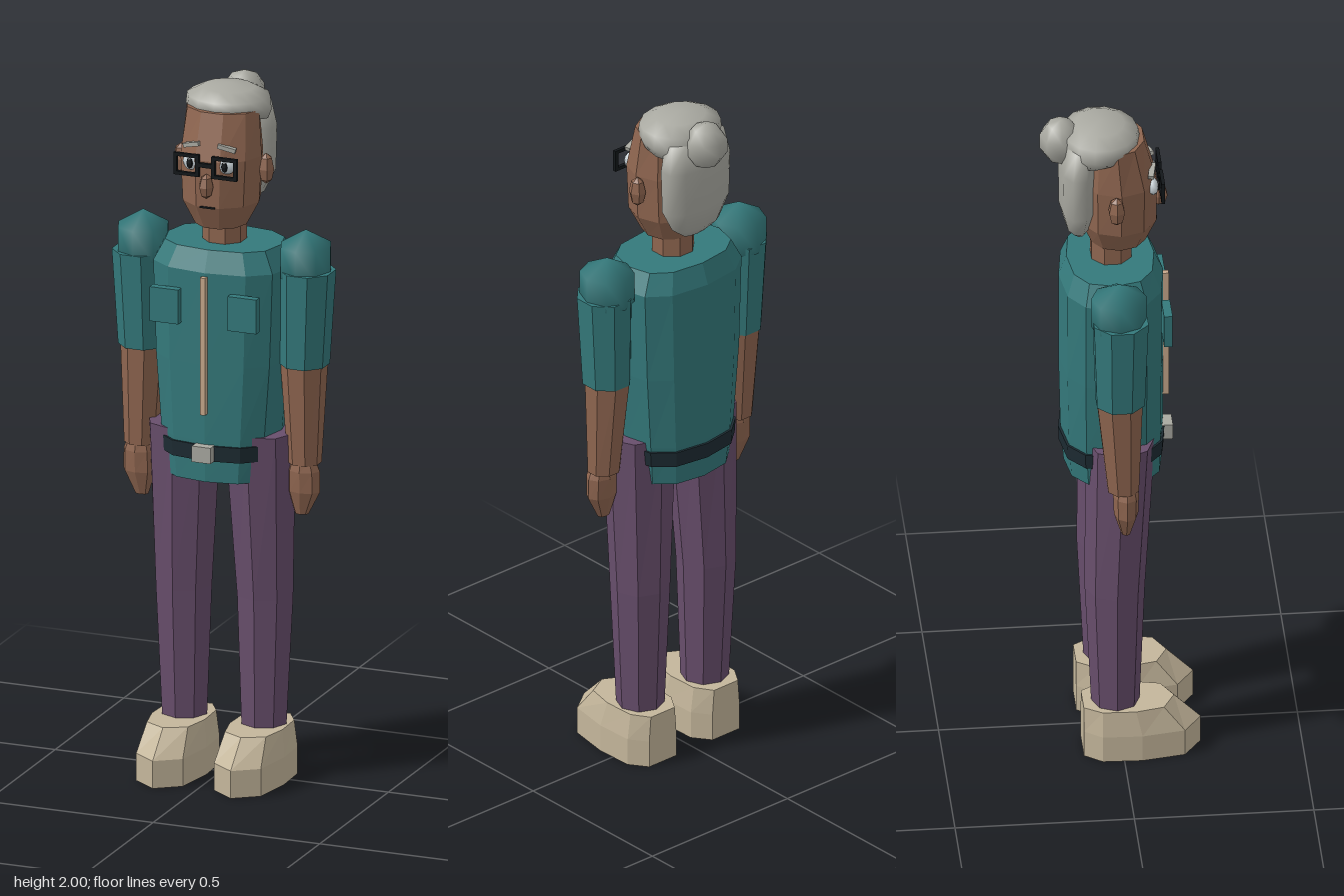
import * as THREE from 'three';
import { mergeVertices } from 'three/addons/utils/BufferGeometryUtils.js';

const paint = (name, color, flat = true) =>
  Object.assign(new THREE.MeshStandardMaterial({ color, flatShading: flat }), { name });

// Closed surface through a stack of rings, each listed from +z towards +x
function skin(rings) {
  const pos = [], n = rings[0].length;
  const tri = (...p) => p.forEach((v) => pos.push(v.x, v.y, v.z));
  for (let r = 0; r < rings.length - 1; r++) {
    const lo = rings[r], hi = rings[r + 1];
    for (let i = 0; i < n; i++) {
      const j = (i + 1) % n;
      tri(lo[i], lo[j], hi[j]);
      tri(lo[i], hi[j], hi[i]);
    }
  }
  const bottom = rings[0], top = rings[rings.length - 1];
  for (let i = 1; i < n - 1; i++) {
    tri(bottom[0], bottom[i + 1], bottom[i]);
    tri(top[0], top[i], top[i + 1]);
  }
  const g = new THREE.BufferGeometry();
  g.setAttribute('position', new THREE.Float32BufferAttribute(pos, 3));
  g.computeVertexNormals();
  return g;
}

// Sections from bottom to top: [y, centre x, centre z, radius x, radius z]
function loft(sections, sides, power = 1, turn = 0) {
  const bend = (v) => Math.sign(v) * Math.abs(v) ** power;
  return skin(sections.map(([y, cx, cz, rx, rz]) => Array.from({ length: sides }, (_, i) => {
    const a = ((i + turn) / sides) * Math.PI * 2;
    return new THREE.Vector3(cx + rx * bend(Math.sin(a)), y, cz + rz * bend(Math.cos(a)));
  })));
}

// Merge shared corners so the surface shades smoothly
function smooth(g) {
  g.deleteAttribute('normal');
  g.deleteAttribute('uv');
  const m = mergeVertices(g, 1e-4);
  m.computeVertexNormals();
  return m;
}

export function createModel() {
  const model = new THREE.Group();
  model.name = 'figure';

  const shirt = paint('teal shirt', 0x34797b);
  const shirtSoft = shirt.clone();
  shirtSoft.flatShading = false;
  const skinTone = paint('brown skin', 0x8f6650);
  const trousers = paint('plum trousers', 0x684e6c);
  const shoe = paint('beige shoe', 0xc4b69b);
  const hair = paint('grey hair', 0xa9a9a1, false);
  const belt = paint('navy belt', 0x1d2b32);
  const frame = paint('black frame', 0x121619);
  const zip = paint('tan zip', 0xc8a98c);
  const eyeWhite = paint('pale eye', 0xc9d3d8, false);

  const add = (name, geometry, material, x = 0, y = 0, z = 0) => {
    const mesh = new THREE.Mesh(geometry, material);
    mesh.name = name;
    mesh.position.set(x, y, z);
    model.add(mesh);
    return mesh;
  };
  const box = (name, mat, w, h, d, x, y, z) => add(name, new THREE.BoxGeometry(w, h, d), mat, x, y, z);
  const ball = (name, mat, rx, ry, rz, x, y, z, sides = 8, rows = 4) =>
    add(name, smooth(new THREE.SphereGeometry(1, sides, rows).scale(rx, ry, rz)), mat, x, y, z);

  // Shirt, zip and belt
  add('shirt', loft([
    [0.88, 0, -0.015, 0.158, 0.137],
    [1.0, 0, -0.018, 0.172, 0.143],
    [1.22, 0, -0.02, 0.19, 0.146],
    [1.49, 0, -0.02, 0.2, 0.146],
    [1.55, 0, -0.022, 0.168, 0.122],
  ], 12, 0.78), shirt);
  box('zip', zip, 0.016, 0.4, 0.022, 0, 1.28, 0.13);
  add('belt', loft([
    [0.943, 0, -0.018, 0.173, 0.147],
    [0.988, 0, -0.018, 0.176, 0.149],
  ], 12, 0.78), belt);
  box('buckle', hair, 0.056, 0.046, 0.03, 0, 0.967, 0.136);

  // Neck and head
  add('neck', loft([[1.5, 0, -0.02, 0.062, 0.06], [1.63, 0, -0.02, 0.062, 0.06]], 8, 1, 0.5), skinTone);
  add('head', loft([
    [1.605, 0, 0, 0.074, 0.078],
    [1.675, 0, 0, 0.112, 0.109],
    [1.81, 0, 0, 0.12, 0.111],
    [1.94, 0, -0.01, 0.108, 0.084],
  ], 10, 1, 0.5), skinTone);
  ball('nose', skinTone, 0.021, 0.036, 0.028, 0, 1.74, 0.113, 6, 4);
  box('mouth', frame, 0.045, 0.005, 0.008, 0, 1.675, 0.103);

  // Hair: flattened cap sloping backwards, back curtain and bun
  const cap = new THREE.LatheGeometry(
    [[0, 1.89], [0.112, 1.89], [0.122, 1.92], [0.118, 1.963], [0.075, 1.985], [0, 1.995]]
      .map(([r, y]) => new THREE.Vector2(r, y)), 14);
  const p = cap.attributes.position;
  for (let i = 0; i < p.count; i++) {
    const low = Math.max(0, (1.96 - p.getY(i)) / 0.07);
    p.setY(i, p.getY(i) + low * (p.getZ(i) * 0.2 + 0.012));
    p.setZ(i, p.getZ(i) * 0.9 - 0.05);
  }
  add('hairCap', smooth(cap), hair);
  add('backHair', smooth(loft([
    [1.635, 0, -0.108, 0.04, 0.015],
    [1.665, 0, -0.115, 0.08, 0.033],
    [1.73, 0, -0.115, 0.112, 0.05],
    [1.86, 0, -0.115, 0.116, 0.052],
    [1.94, 0, -0.11, 0.1, 0.042],
  ], 10, 0.85)), hair);
  ball('hairBun', hair, 0.064, 0.067, 0.062, 0.002, 1.932, -0.16, 8, 5);

  // Spectacle bridge
  box('bridge', frame, 0.05, 0.012, 0.01, 0, 1.802, 0.118);

  for (const s of [1, -1]) {
    const side = s > 0 ? 'left' : 'right';

    // Face details
    ball(side + 'Ear', skinTone, 0.024, 0.045, 0.025, s * 0.127, 1.77, -0.015, 6, 4);
    ball(side + 'Eye', eyeWhite, 0.027, 0.024, 0.016, s * 0.052, 1.8, 0.093, 8, 6);
    ball(side + 'Pupil', frame, 0.01, 0.016, 0.005, s * 0.052, 1.8, 0.108, 8, 4);
    const brow = box(side + 'Brow', hair, 0.052, 0.012, 0.016, s * 0.052, 1.85, 0.09);
    brow.rotation.set(0, s * 0.2, -s * 0.25);

    // Square spectacle rim
    for (const e of [1, -1]) {
      box(side + 'RimBar', frame, 0.076, 0.01, 0.01, s * 0.057, 1.799 + e * 0.027, 0.118);
      box(side + 'RimPost', frame, 0.01, 0.064, 0.01, s * (0.057 + e * 0.033), 1.799, 0.118);
    }

    // Chest pocket
    box(side + 'Pocket', shirt, 0.086, 0.1, 0.024, s * 0.117, 1.385, 0.126);

    // Arm
    ball(side + 'Shoulder', shirtSoft, 0.086, 0.09, 0.09, s * 0.244, 1.515, -0.02, 8, 3);
    add(side + 'Sleeve', loft([
      [1.215, s * 0.242, -0.016, 0.07, 0.072],
      [1.49, s * 0.25, -0.016, 0.08, 0.082],
    ], 8, 1, 0.5), shirt);
    add(side + 'Forearm', loft([
      [0.93, s * 0.245, -0.008, 0.048, 0.046],
      [1.22, s * 0.24, -0.018, 0.066, 0.068],
    ], 8, 1, 0.5), skinTone);
    add(side + 'Hand', loft([
      [0.782, s * 0.24, 0, 0.02, 0.014],
      [0.85, s * 0.247, 0, 0.048, 0.034],
      [0.91, s * 0.247, 0, 0.047, 0.036],
      [0.94, s * 0.246, 0, 0.036, 0.03],
    ], 8), skinTone);

    // Leg
    add(side + 'Leg', loft([
      [0.14, s * 0.119, -0.018, 0.067, 0.067],
      [0.53, s * 0.122, -0.02, 0.084, 0.084],
      [1.012, s * 0.112, -0.004, 0.108, 0.098],
    ], 8), trousers);

    // Shoe: pointed sole outline, top drawn in towards the instep
    const half = [[0.07, 0.17], [0.09, 0.05], [0.086, -0.06], [0.05, -0.11]];
    const outline = [[0, 0.22], ...half, ...half.map(([x, z]) => [-x, z]).reverse()];
    const ring = (y, kx, kz) => outline.map(([x, z]) =>
      new THREE.Vector3(s * 0.117 + x * kx, y, z > 0 ? z * kz : z));
    add(side + 'Shoe', skin([ring(0, 1, 1), ring(0.08, 1, 1), ring(0.155, 0.88, 0.66)]), shoe);
  }
  return model;
}
